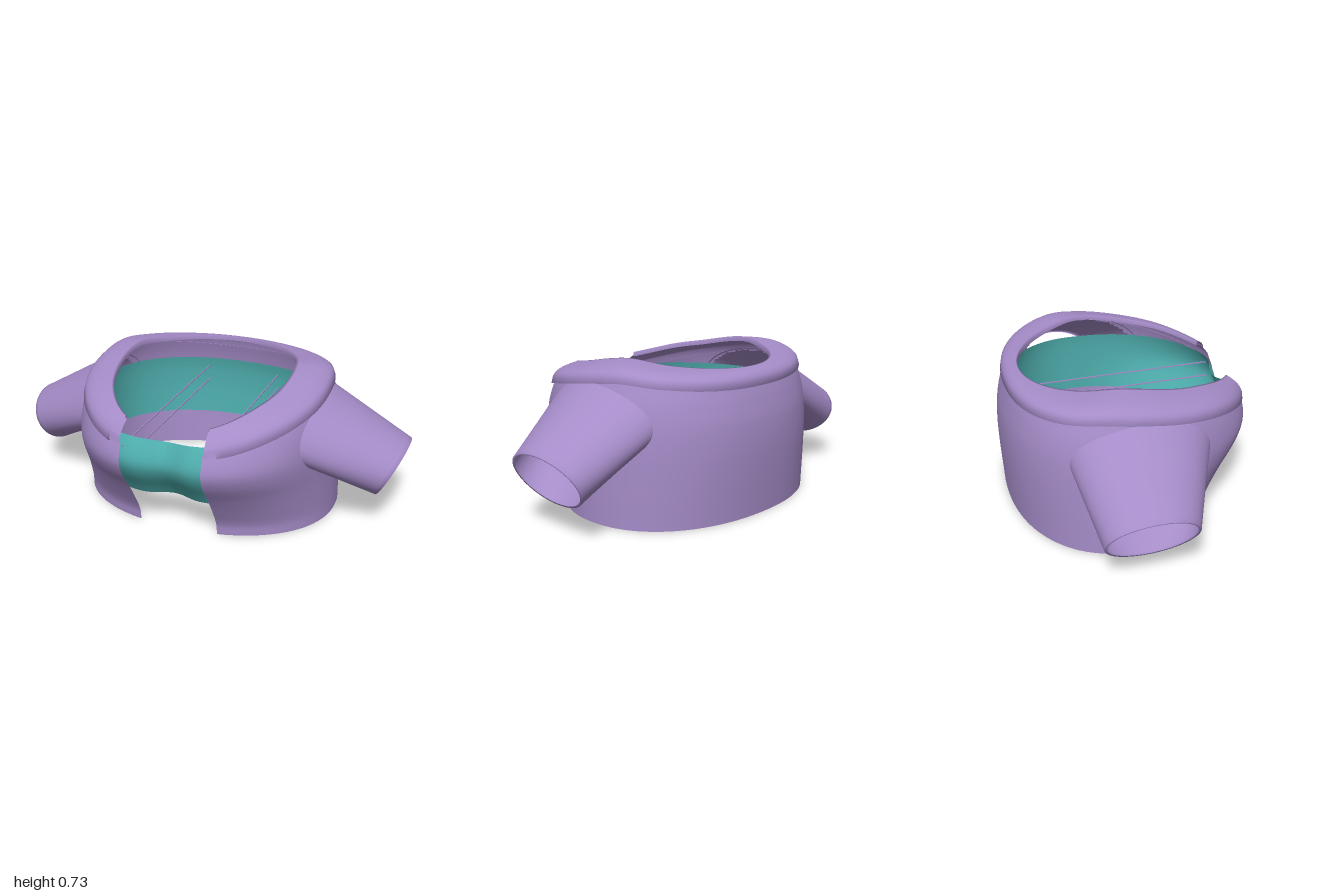
import * as THREE from 'three';

const material = (color) => new THREE.MeshStandardMaterial({ color, side: THREE.DoubleSide });
const { lerp, clamp } = THREE.MathUtils;

// Smooth interpolation through [position, value] keys
function spline(keys) {
  const slope = (i) => {
    const a = keys[Math.max(i - 1, 0)], b = keys[Math.min(i + 1, keys.length - 1)];
    return (b[1] - a[1]) / (b[0] - a[0]);
  };
  return (p) => {
    p = clamp(p, keys[0][0], keys[keys.length - 1][0]);
    let i = 0;
    while (i < keys.length - 2 && p > keys[i + 1][0]) i++;
    const h = keys[i + 1][0] - keys[i][0], t = (p - keys[i][0]) / h, t2 = t * t, t3 = t2 * t;
    return (2 * t3 - 3 * t2 + 1) * keys[i][1] + (t3 - 2 * t2 + t) * h * slope(i)
      + (3 * t2 - 2 * t3) * keys[i + 1][1] + (t3 - t2) * h * slope(i + 1);
  };
}

// Surface swept over a grid; cells for which skip() is true are left open
function surface(nu, nv, point, skip = () => false) {
  const positions = [], index = [], pts = [];
  for (let j = 0; j <= nv; j++) {
    for (let i = 0; i <= nu; i++) {
      const p = point(i / nu, j / nv, j);
      pts.push(p);
      positions.push(p.x, p.y, p.z);
    }
  }
  for (let j = 0; j < nv; j++) {
    for (let i = 0; i < nu; i++) {
      const a = j * (nu + 1) + i, b = a + nu + 1;
      if (skip(pts[a])) continue;
      index.push(a, a + 1, b + 1, a, b + 1, b);
    }
  }
  const g = new THREE.BufferGeometry();
  g.setAttribute('position', new THREE.Float32BufferAttribute(positions, 3));
  g.setIndex(index);
  g.computeVertexNormals();
  return g;
}

// Torso outline by height: half width, front depth, back depth
const N = 2.2, MID = -0.1;
const halfWidth = spline([[0, 0.655], [0.2, 0.65], [0.45, 0.64], [0.56, 0.625], [0.66, 0.59]]);
const frontZ = spline([[0, 0.4], [0.06, 0.41], [0.15, 0.46], [0.24, 0.52], [0.34, 0.594], [0.41, 0.62], [0.49, 0.6], [0.62, 0.53]]);
const backZ = spline([[0, -0.58], [0.3, -0.597], [0.45, -0.592], [0.55, -0.572], [0.64, -0.545]]);
const seamY = spline([[-0.57, 0.62], [-0.35, 0.645], [-0.1, 0.66], [0.2, 0.61], [0.4, 0.56], [0.57, 0.49]]);

const signedPow = (v, e) => Math.sign(v) * Math.pow(Math.abs(v), e);

function oval(theta, w, mid, front, back, y, n) {
  const c = signedPow(Math.cos(theta), 2 / n);
  return new THREE.Vector3(w * signedPow(Math.sin(theta), 2 / n), y,
    mid + c * (c > 0 ? front - mid : mid - back));
}
const torso = (theta, y, grow = 0) =>
  oval(theta, halfWidth(y) + grow, MID, frontZ(y) + grow, backZ(y) - grow, y, N);

// Angle around the body, leaving a front gap of half width x
function sweep(u, x, w, n) {
  const start = Math.asin(Math.pow(x / w, n / 2));
  return lerp(start, Math.PI * 2 - start, u);
}
const seamAt = (theta) => seamY(0.57 * Math.cos(theta));
const rimY = spline([[-0.49, 0.69], [-0.3, 0.71], [-0.1, 0.732], [0.2, 0.68], [0.33, 0.655], [0.5, 0.605]]);

// Collar sheet: v runs from the outer seam to the neck rim
function collarPoint(u, v, gap, grow) {
  const outerTheta = sweep(u, gap, 0.62, N);
  const outer = torso(outerTheta, seamAt(outerTheta), grow);
  const rim = oval(sweep(u, 0.2, 0.43, 2), 0.43, 0, 0.56, -0.49, 0, 2);
  rim.y = rimY(rim.z);
  const p = outer.clone().lerp(rim, v);
  p.y = lerp(outer.y, rim.y, Math.pow(v, 0.8)) + 0.025 * Math.sin(Math.PI * Math.sqrt(v));
  return p;
}

// Armhole ellipse on the side of the torso
const ARM = { y: 0.46, z: -0.05, ry: 0.18, rz: 0.33 };
const inArmhole = (p) => Math.abs(p.x) > 0.4 &&
  Math.hypot((p.y - ARM.y) / ARM.ry, (p.z - ARM.z) / ARM.rz) < 0.9;
function torsoX(y, z) {
  const depth = z > MID ? frontZ(y) - MID : MID - backZ(y);
  return halfWidth(y) * Math.pow(1 - Math.pow(Math.min(Math.abs(z - MID) / depth, 1), N), 1 / N);
}

export function createModel() {
  const model = new THREE.Group();
  const purple = material(0xa58cc8), teal = material(0x50b0b0);
  const add = (name, geometry, mat) => {
    const mesh = new THREE.Mesh(geometry, mat);
    mesh.name = name;
    model.add(mesh);
    return mesh;
  };

  // Open-front jacket body, carried on underneath the collar
  add('jacketBody', surface(180, 64, (u, v) => {
    if (v > 0.8) {
      const p = collarPoint(u, (v - 0.8) / 0.2, 0.2, 0);
      p.y -= 0.016 * Math.min(1, (v - 0.8) / 0.04);
      return p;
    }
    const y = seamAt(sweep(u, 0.2, 0.64, N)) * v / 0.8;
    return torso(sweep(u, 0.2, halfWidth(y), N), y);
  }, inArmhole), purple);

  // Collar with a raised lip at the seam and a turned-in neck rim
  const rows = 18;
  add('collar', surface(160, rows, (u, v, j) => {
    if (j === 0) return collarPoint(u, 0, 0.25, 0).add(new THREE.Vector3(0, -0.008, 0));
    const p = collarPoint(u, Math.min((j - 1) / (rows - 2), 1), 0.25, 0.016);
    if (j === 1) p.y -= 0.008;
    if (j === rows) p.y -= 0.025;
    return p;
  }), purple);

  // Sleeves: from the armhole on the torso to a slanted oval cuff
  const sleeve = surface(64, 21, (u, v, j) => {
    const a = -u * Math.PI * 2, c = Math.cos(a), s = Math.sin(a);
    const y = ARM.y + ARM.ry * c, z = ARM.z + ARM.rz * s;
    const root = new THREE.Vector3(torsoX(y, z) - 0.005, y, z);
    const k = j === 21 ? 0.94 : 1;
    const cuff = new THREE.Vector3(0.93 + 0.07 * c * k, 0.27 + 0.13 * c * k, -0.115 + 0.215 * s * k);
    return root.lerp(cuff, Math.min(j / 20, 1));
  });
  add('leftSleeve', sleeve, purple);
  add('rightSleeve', sleeve, purple).scale.x = -1;

  // Inner chest band with a dip at the centre front
  add('chestBand', surface(160, 20, (u, v) => {
    const theta = u * Math.PI * 2;
    const p = torso(theta, lerp(0.2, 0.53, v), -0.025);
    if (p.z > 0) {
      const dip = Math.exp(-Math.pow(p.x / 0.1, 2));
      p.z -= 0.055 * dip;
      p.y -= 0.02 * dip * v;
    }
    return p;
  }), teal);

  // Fine threads running from the back to the front edges
  for (const x of [-0.2, 0.2]) {
    for (const y of [0.4, 0.48]) {
      add('thread', new THREE.BoxGeometry(0.005, 0.005, 1.13), purple).position.set(x, y, -0.005);
    }
  }
  return model;
}
